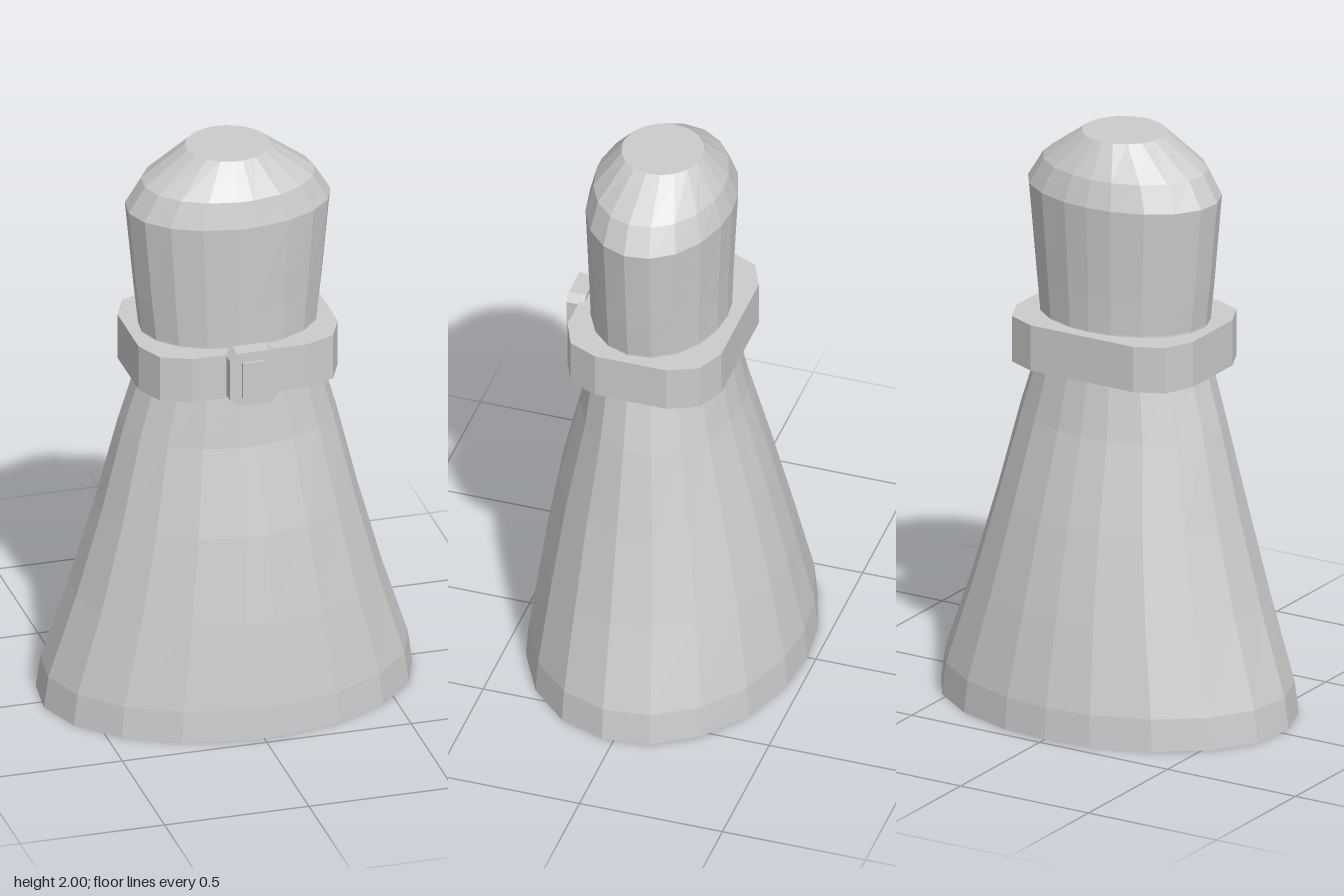
import * as THREE from 'three';

// angles of one half, measured from the back (-z); mirrored for the other half
const HALF = [15, 35, 55, 75, 95, 115, 135, 155, 175];
const ANGLES = [0, ...HALF, ...HALF.map(a => 360 - a).reverse()].map(THREE.MathUtils.degToRad);

// closed solid through elliptical rings [y, rx, zFront, zBack]
function loft(rings) {
  const n = ANGLES.length, pos = [], index = [];
  for (const [y, rx, zf, zb] of rings) {
    const zc = (zf + zb) / 2, rz = (zf - zb) / 2;
    for (const a of ANGLES) pos.push(rx * Math.sin(a), y, zc - rz * Math.cos(a));
  }
  for (let r = 0; r < rings.length - 1; r++) {
    for (let i = 0; i < n; i++) {
      const j = (i + 1) % n;
      const a = r * n + i, b = r * n + j, c = a + n, d = b + n;
      index.push(a, c, b, b, c, d);
    }
  }
  // bottom and top caps
  const top = (rings.length - 1) * n;
  for (let i = 1; i < n - 1; i++) {
    index.push(0, i, i + 1);
    index.push(top, top + i + 1, top + i);
  }
  const g = new THREE.BufferGeometry();
  g.setAttribute('position', new THREE.Float32BufferAttribute(pos, 3));
  g.setIndex(index);
  const flat = g.toNonIndexed();
  flat.computeVertexNormals();
  return flat;
}

function extrude(points, depth) {
  const shape = new THREE.Shape(points.map(([x, y]) => new THREE.Vector2(x, y)));
  return new THREE.ExtrudeGeometry(shape, { depth, bevelEnabled: false });
}

export function createModel() {
  const group = new THREE.Group();
  const grey = new THREE.MeshStandardMaterial({ color: 0xcccccc, flatShading: true });
  grey.name = 'plain grey';
  const add = (name, geometry) => {
    const mesh = new THREE.Mesh(geometry, grey);
    mesh.name = name;
    group.add(mesh);
    return mesh;
  };

  // flared robe, narrow waist and rounded head in one skin
  add('body', loft([
    [0, 0.64, 0.47, -0.47],
    [0.11, 0.625, 0.462, -0.46],
    [0.4, 0.53, 0.422, -0.398],
    [0.7, 0.445, 0.37, -0.325],
    [1.0, 0.37, 0.3, -0.24],
    [1.2, 0.31, 0.275, -0.2],
    [1.36, 0.305, 0.267, -0.19],
    [1.49, 0.32, 0.27, -0.193],
    [1.8, 0.35, 0.28, -0.207],
    [1.89, 0.295, 0.258, -0.178],
    [2.0, 0.143, 0.173, -0.103],
  ]));

  // belt with chamfered corners
  const side = [[0.2, -0.235], [0.3, -0.19], [0.345, -0.09], [0.345, 0.16], [0.3, 0.26], [0.2, 0.303]];
  const outline = [...side, ...side.map(([x, z]) => [-x, z]).reverse()];
  const belt = add('belt', extrude(outline.map(([x, z]) => [x, -z]), 0.16));
  belt.rotation.x = -Math.PI / 2;
  belt.position.y = 1.195;

  // buckle plate with clipped corners and a raised centre
  const w = 0.082, h = 0.097, c = 0.025;
  const quarter = [[w, h - c], [w - c, h]];
  const right = [...quarter.map(([x, y]) => [x, -y]).reverse(), ...quarter];
  const buckle = add('buckle', extrude([...right, ...right.map(([x, y]) => [-x, y]).reverse()], 0.06));
  buckle.position.set(0, 1.277, 0.285);
  const centre = add('buckleCentre', new THREE.BoxGeometry(0.08, 0.13, 0.02));
  centre.position.set(0, 1.275, 0.345);

  return group;
}
